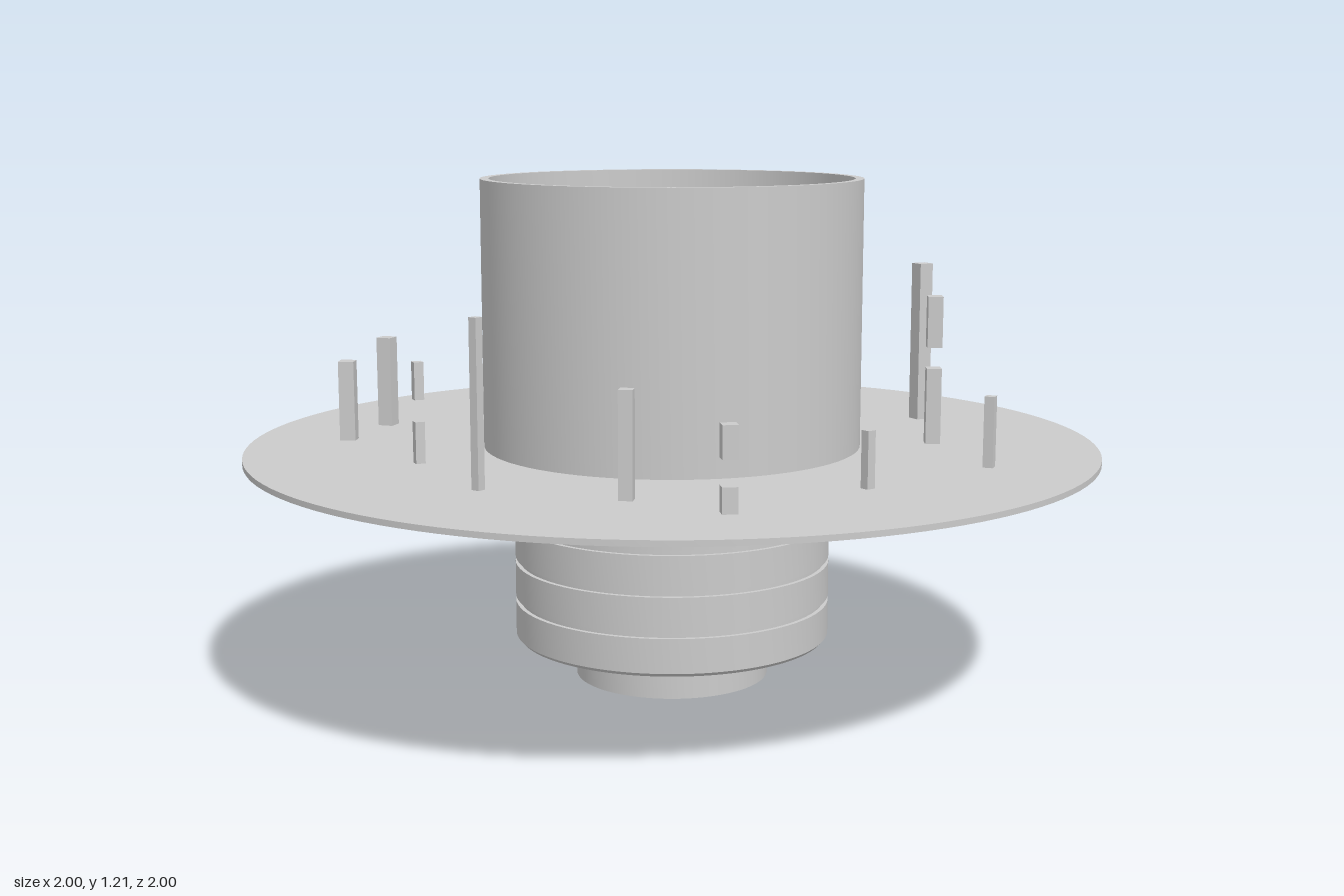
import * as THREE from 'three';
import { toCreasedNormals } from 'three/addons/utils/BufferGeometryUtils.js';

const material = new THREE.MeshStandardMaterial({ color: 0xcccccc });

function addMesh(parent, name, geometry, x = 0, y = 0, z = 0) {
  const mesh = new THREE.Mesh(geometry, material);
  mesh.name = name;
  mesh.position.set(x, y, z);
  parent.add(mesh);
  return mesh;
}

// Turned part from [radius, y] points, with crisp edges
function turned(points, segments = 80) {
  const profile = points.map(([r, y]) => new THREE.Vector2(r, y));
  return toCreasedNormals(new THREE.LatheGeometry(profile, segments), 0.5);
}

export function createModel() {
  const model = new THREE.Group();
  model.name = 'station';

  // Wide thin deck
  addMesh(model, 'deck', turned([[0, 0.567], [1, 0.567], [1, 0.58], [0, 0.58]], 128));

  // Open-topped drum passing through the deck
  addMesh(model, 'drum', turned([
    [0, 0.488], [0.445, 0.488], [0.445, 1.205], [0.425, 1.205], [0.425, 0.582], [0, 0.582],
  ]));

  // Lower body with three narrow grooves
  const body = [[0, 0.115], [0.368, 0.115], [0.375, 0.123]];
  for (const y of [0.21, 0.305, 0.4]) {
    body.push([0.375, y - 0.006], [0.365, y - 0.006], [0.365, y + 0.006], [0.375, y + 0.006]);
  }
  body.push([0.375, 0.49], [0, 0.49]);
  addMesh(model, 'lowerBody', turned(body));

  // Foot and its stepped nozzle
  addMesh(model, 'foot', turned([[0, 0.018], [0.23, 0.018], [0.23, 0.116], [0, 0.116]]));
  addMesh(model, 'nozzle', turned([[0, 0.003], [0.06, 0.003], [0.065, 0], [0.075, 0], [0.098, 0.018], [0, 0.018]]));

  // Slightly leaning core inside the drum
  const core = new THREE.Group();
  core.name = 'core';
  core.position.set(0.012, 0.58, -0.012);
  core.rotation.set(0.045, 0, 0.045);
  model.add(core);
  addMesh(core, 'coreShell', turned([
    [0, 0], [0.222, 0], [0.222, 0.42], [0.2, 0.42], [0.19, 0.37],
    [0.145, 0.37], [0.13, 0.33], [0, 0.33],
  ]));
  addMesh(core, 'coreHub', turned([
    [0.052, 0.33], [0.052, 0.38], [0.04, 0.38], [0.04, 0.34], [0, 0.34],
  ], 32));
  for (let i = 0; i < 5; i++) {
    const a = (i / 5) * Math.PI * 2 + 0.6;
    const block = addMesh(core, 'coreBlock', new THREE.BoxGeometry(0.035, 0.03, 0.035),
      Math.cos(a) * 0.092, 0.345, Math.sin(a) * 0.092);
    block.rotation.y = -a;
  }

  // Small notched stub beside the core
  const stub = new THREE.Shape();
  stub.absarc(0, 0, 0.047, 0.6, Math.PI * 2 - 0.1, false);
  stub.lineTo(0.015, 0);
  const stubMesh = addMesh(model, 'stub', toCreasedNormals(
    new THREE.ExtrudeGeometry(stub, { depth: 0.08, bevelEnabled: false, curveSegments: 24 }), 0.5),
    0.18, 0.58, -0.27);
  stubMesh.rotation.set(-Math.PI / 2, 0, 1.2);

  // Radially facing towers: x, z, width, top, then an optional floating block's bottom and top
  const towers = [
    [-0.10, -0.68, 0.021, 0.665, 0.70, 0.78],
    [0.14, -0.56, 0.025, 1.0],
    [0.44, -0.50, 0.018, 0.9],
    [0.627, -0.36, 0.022, 0.68, 0.72, 0.83],
    [-0.525, -0.535, 0.037, 0.80],
    [-0.675, -0.38, 0.037, 0.77],
    [-0.622, -0.027, 0.022, 0.675, 0.725, 0.81],
    [-0.609, 0.305, 0.02, 0.945],
    [0.715, -0.018, 0.037, 0.975],
    [0.547, 0.286, 0.035, 0.76, 0.81, 0.93],
    [0.494, 0.587, 0.023, 0.74],
    [0.13, 0.66, 0.021, 0.705],
    [-0.243, 0.735, 0.033, 0.635, 0.69, 0.76],
    [-0.372, 0.533, 0.03, 0.81],
  ];
  for (const [x, z, w, top, low, high] of towers) {
    const spans = [[0.575, top]];
    if (low) spans.push([low, high]);
    for (const [y0, y1] of spans) {
      const tower = addMesh(model, y0 > 0.6 ? 'floatingBlock' : 'tower',
        new THREE.BoxGeometry(w, y1 - y0, w), x, (y0 + y1) / 2, z);
      tower.rotation.y = -Math.atan2(z, x);
    }
  }
  return model;
}
